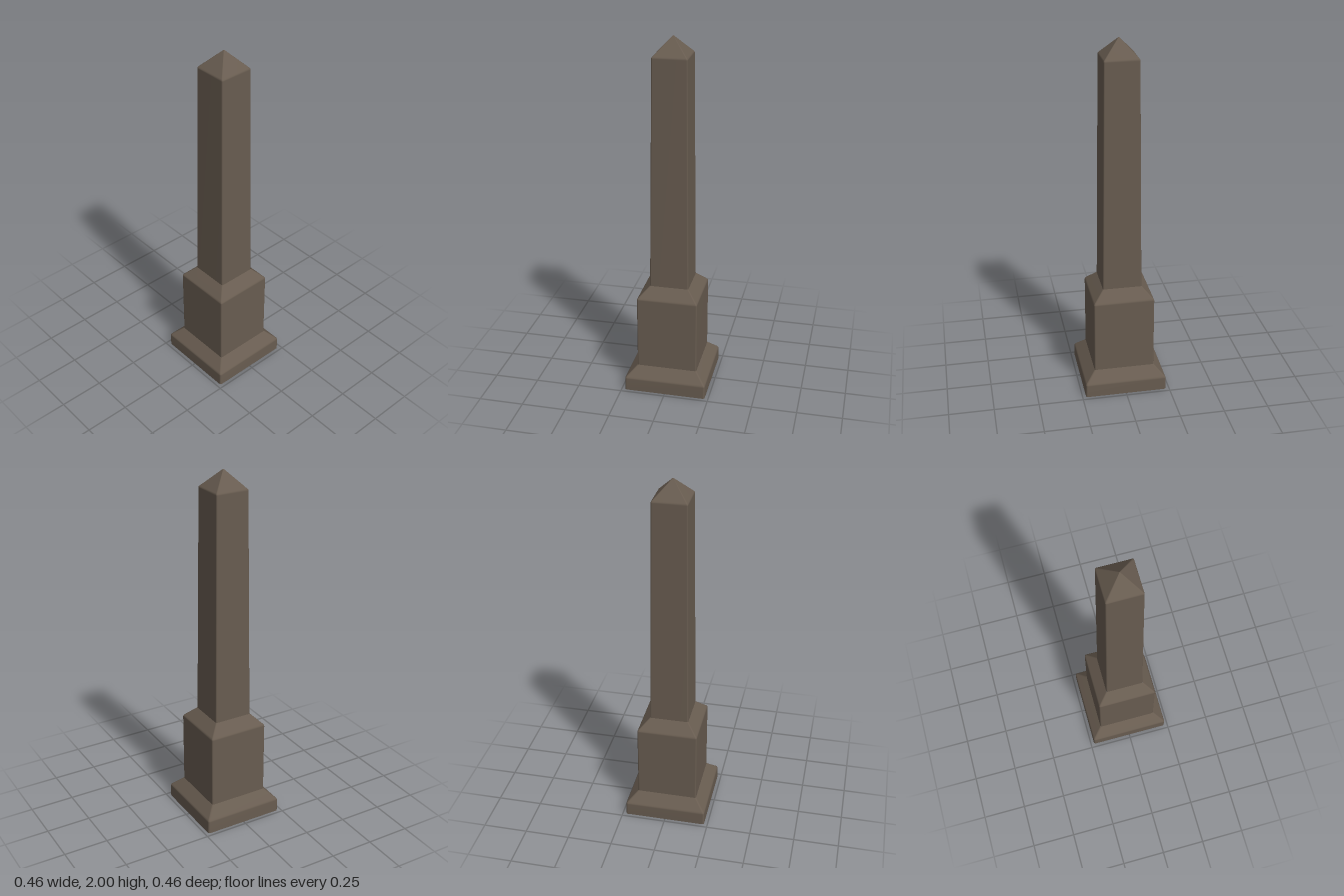
import * as THREE from 'three';

// Lofts rounded-square rings [halfWidth, y, cornerRadius] into an open skin.
function loft(rings) {
  const steps = 3;
  const count = 4 * (steps + 1);
  const pos = [];
  const index = [];
  for (const [half, y, r] of rings) {
    for (let corner = 0; corner < 4; corner++) {
      const mid = Math.PI / 4 + corner * Math.PI / 2;
      const cx = Math.sign(Math.cos(mid)) * (half - r);
      const cz = Math.sign(Math.sin(mid)) * (half - r);
      for (let i = 0; i <= steps; i++) {
        const a = (corner + i / steps) * Math.PI / 2;
        pos.push(cx + r * Math.cos(a), y, cz + r * Math.sin(a));
      }
    }
  }
  for (let k = 0; k < rings.length - 1; k++) {
    for (let i = 0; i < count; i++) {
      const a = k * count + i;
      const b = k * count + (i + 1) % count;
      index.push(a, a + count, b, b, a + count, b + count);
    }
  }
  const geo = new THREE.BufferGeometry();
  geo.setAttribute('position', new THREE.Float32BufferAttribute(pos, 3));
  geo.setIndex(index);
  geo.computeVertexNormals();
  return geo;
}

export function createModel() {
  const group = new THREE.Group();
  group.name = 'obelisk';
  const stone = new THREE.MeshStandardMaterial({ color: 0x685c50, side: THREE.DoubleSide });
  stone.name = 'brownStone';

  const parts = {
    // Hollow foot, open underneath, with a sloping top
    base: [[0.23, 0, 0.01], [0.23, 0.07, 0.01], [0.228, 0.077, 0.01], [0.223, 0.083, 0.01], [0.17, 0.136, 0.008]],
    // Square block with a chamfered shoulder
    plinth: [[0.17, 0.136, 0.008], [0.17, 0.547, 0.008], [0.168, 0.554, 0.008], [0.163, 0.56, 0.008], [0.109, 0.615, 0.006]],
    // Tapering shaft finished with a pyramid tip
    shaft: [[0.109, 0.615, 0.008], [0.095, 1.895, 0.007], [0.094, 1.901, 0.007], [0.09, 1.906, 0.007],
      [0.003, 1.998, 0.001], [0, 2, 0]],
  };
  for (const [name, rings] of Object.entries(parts)) {
    const mesh = new THREE.Mesh(loft(rings), stone);
    mesh.name = name;
    group.add(mesh);
  }
  return group;
}
